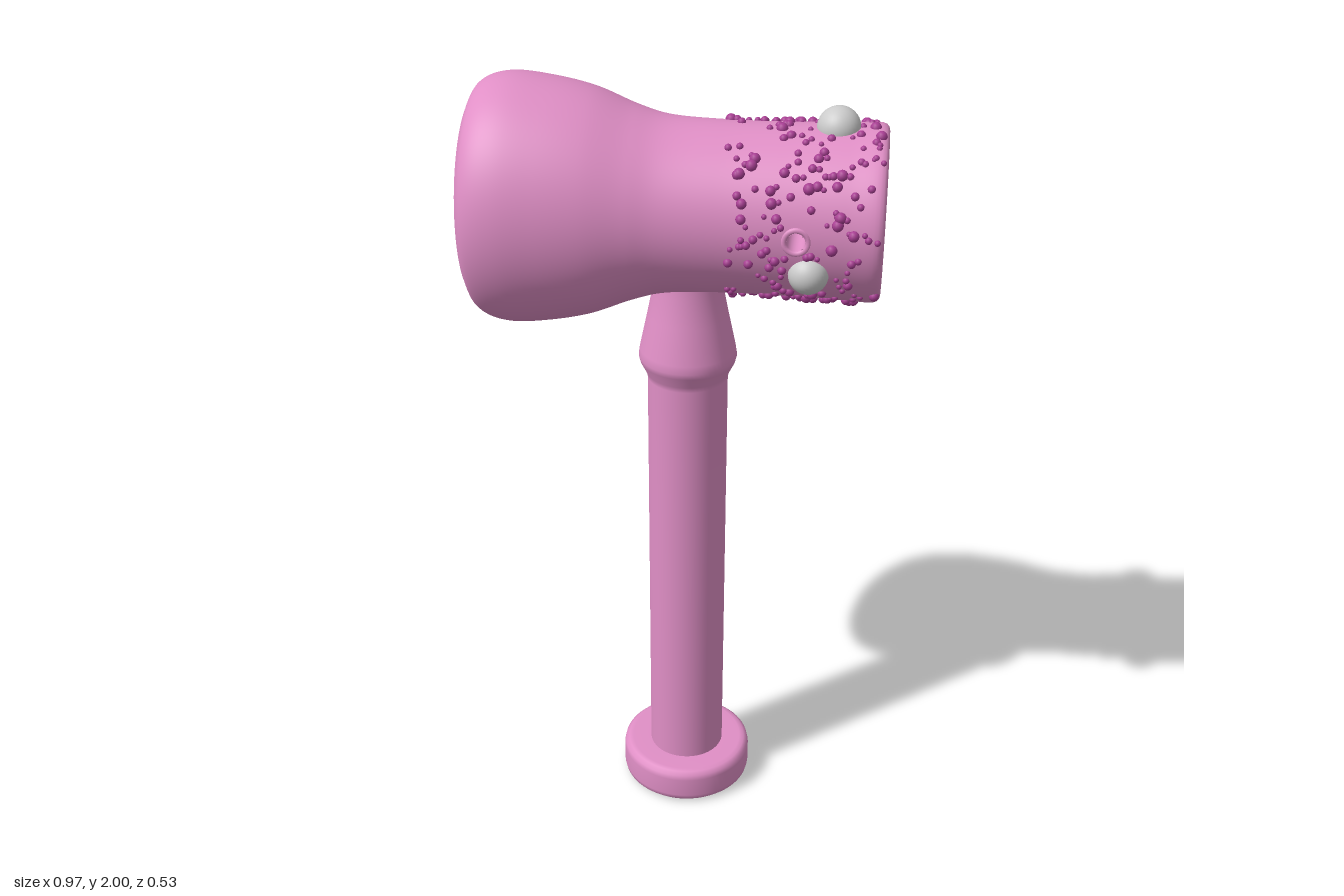
import * as THREE from 'three';
import { mergeGeometries } from 'three/addons/utils/BufferGeometryUtils.js';

const PINK = new THREE.MeshStandardMaterial({ color: 0xe08fc6 });
const PINK_THIN = new THREE.MeshStandardMaterial({ color: 0xe08fc6, side: THREE.DoubleSide });
const MAGENTA = new THREE.MeshStandardMaterial({ color: 0xa83f93 });
const GREY = new THREE.MeshStandardMaterial({ color: 0xcccccc });

const AXIS_Y = 1.7;    // height of the head's axis
const HOLE_X = 0.29;   // cross hole through the barrel
const HANDLE_X = 0.025;

function seeded(seed) {
  return () => (seed = (seed * 16807) % 2147483647) / 2147483647;
}

// Head: elliptical sections [x, half height, half depth], outside, round the lip, into the bore
function headGeometry() {
  const stations = [
    [-0.487, 0.235, 0.215], [-0.47, 0.27, 0.242], [-0.44, 0.29, 0.257], [-0.39, 0.3, 0.265],
    [-0.3, 0.292, 0.261], [-0.2, 0.27, 0.248], [-0.1, 0.23, 0.225], [-0.03, 0.21, 0.211],
    [0.1, 0.202, 0.202], [0.25, 0.202, 0.202], [0.4, 0.206, 0.206], [0.475, 0.207, 0.207],
    [0.485, 0.198, 0.198], [0.484, 0.175, 0.175], [0.472, 0.166, 0.166], [0.42, 0.153, 0.153],
    [0.36, 0.125, 0.125], [0.29, 0.092, 0.092], [0.2, 0.052, 0.052], [0.17, 0.04, 0.04],
    [0.08, 0.038, 0.038], [0.07, 0, 0],
  ].map(s => new THREE.Vector3(...s));
  const rows = new THREE.CatmullRomCurve3(stations, false, 'centripetal').getSpacedPoints(170);
  const n = 96, pos = [], index = [];
  for (const r of rows) {
    for (let j = 0; j < n; j++) {
      const a = j / n * Math.PI * 2;
      pos.push(r.x, AXIS_Y + r.y * Math.cos(a), r.z * Math.sin(a));
    }
  }
  for (let i = 0; i < rows.length - 1; i++) {
    for (let j = 0; j < n; j++) {
      const a = i * n + j, b = i * n + (j + 1) % n, c = a + n, d = b + n;
      const cx = (pos[a * 3] + pos[d * 3]) / 2, cy = (pos[a * 3 + 1] + pos[d * 3 + 1]) / 2;
      const inHole = rows[i].x > 0.24 && Math.hypot(cx - HOLE_X, cy - AXIS_Y) < 0.024;
      if (!inHole) index.push(a, b, c, b, d, c);
    }
  }
  const g = new THREE.BufferGeometry();
  g.setAttribute('position', new THREE.Float32BufferAttribute(pos, 3));
  g.setIndex(index);
  g.computeVertexNormals();
  return g;
}

function lathe(points, segments = 64) {
  return new THREE.LatheGeometry(points.map(p => new THREE.Vector2(...p)), segments);
}

export function createModel() {
  const model = new THREE.Group();
  const add = (name, geometry, material, x = 0, y = 0, z = 0, parent = model) => {
    const mesh = new THREE.Mesh(geometry, material);
    mesh.name = name;
    mesh.position.set(x, y, z);
    parent.add(mesh);
    return mesh;
  };

  // Hammer head with flat striking face
  add('head', headGeometry(), PINK);
  const face = add('strikingFace', new THREE.CircleGeometry(1, 96), PINK, -0.487, AXIS_Y, 0);
  face.rotation.y = -Math.PI / 2;
  face.scale.set(0.215, 0.235, 1);

  // Cross hole: liners on both sides, a rim in front and a nozzle behind
  for (const side of [1, -1]) {
    const liner = add('holeLiner', new THREE.CylinderGeometry(0.022, 0.022, 0.12, 24, 1, true),
      PINK_THIN, HOLE_X, AXIS_Y, side * 0.142);
    liner.rotation.x = Math.PI / 2;
  }
  add('holeRim', new THREE.TorusGeometry(0.028, 0.007, 8, 28), PINK, HOLE_X, AXIS_Y, 0.199);
  const nozzle = add('nozzle', lathe([
    [0.062, -0.02], [0.062, 0.012], [0.056, 0.03], [0.045, 0.044], [0.034, 0.05],
    [0.025, 0.048], [0.021, 0.04], [0.021, -0.02],
  ], 40), PINK_THIN, HOLE_X, AXIS_Y, -0.2);
  nozzle.rotation.x = -Math.PI / 2;

  // Handle with flared collar
  add('handle', lathe([
    [0.1, 0.09], [0.1, 0.5], [0.1, 0.9], [0.1, 1.25], [0.103, 1.265], [0.118, 1.295],
    [0.122, 1.31], [0.119, 1.33], [0.1, 1.42], [0.086, 1.49], [0.084, 1.54],
  ]), PINK, HANDLE_X);

  // Foot disc with dished underside and central socket
  add('foot', lathe([
    [0, 0.07], [0.035, 0.07], [0.04, 0.06], [0.045, 0.03], [0.055, 0.022], [0.09, 0.016],
    [0.125, 0.004], [0.145, 0], [0.163, 0.003], [0.172, 0.012], [0.175, 0.025], [0.175, 0.078],
    [0.172, 0.092], [0.162, 0.1], [0.15, 0.102], [0.098, 0.102],
  ]), PINK, HANDLE_X);

  // Round studs set into the barrel: x, y, z, radius
  const studs = [
    [0.37, 1.902, 0, 0.051], [0.32, 1.615, 0.178, 0.047],
    [0.25, 1.785, -0.184, 0.046], [0.36, 1.585, -0.172, 0.046],
  ];
  for (const [x, y, z, r] of studs) add('stud', new THREE.SphereGeometry(r, 32, 20), GREY, x, y, z);

  // Small beads scattered round the barrel
  const random = seeded(4711), beads = [];
  while (beads.length < 340) {
    const x = 0.115 + 0.36 * Math.pow(random(), 0.85), a = random() * Math.PI * 2;
    const r = 0.006 + 0.008 * random();
    const radius = x > 0.25 ? 0.202 + (x - 0.25) * 0.025 : 0.202;
    const y = AXIS_Y + radius * Math.cos(a), z = radius * Math.sin(a);
    const nearHole = Math.hypot(x - HOLE_X, y - AXIS_Y) < (z < 0 ? 0.07 : 0.042);
    const nearStud = studs.some(s => Math.hypot(x - s[0], y - s[1], z - s[2]) < s[3] + r * 0.5);
    if (nearHole || nearStud) continue;
    beads.push(new THREE.SphereGeometry(r, 10, 8).translate(x, y, z));
  }
  add('beads', mergeGeometries(beads), MAGENTA);

  return model;
}
